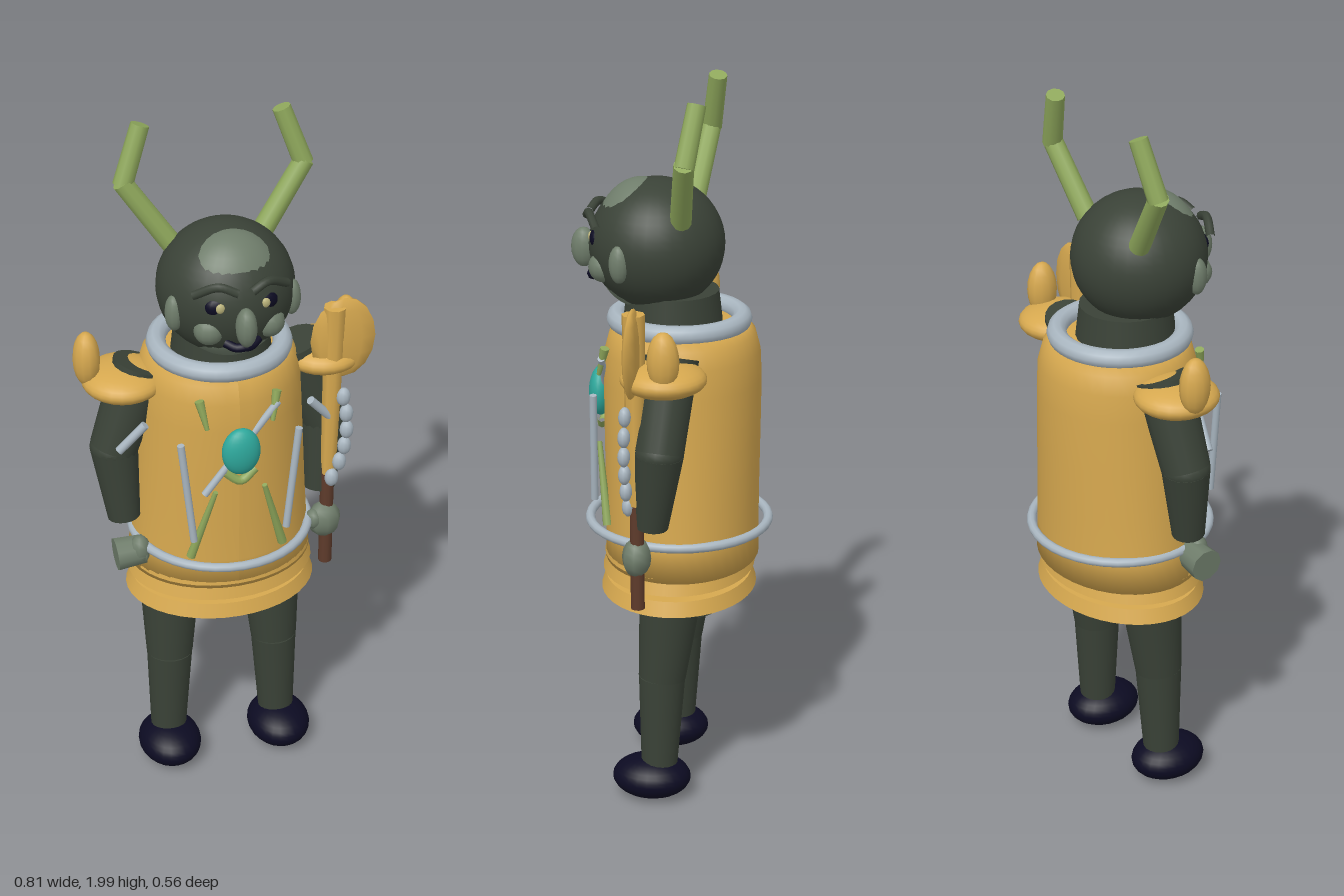
import * as THREE from 'three';

const mat = (name, color) => {
  const m = new THREE.MeshStandardMaterial({ color });
  m.name = name;
  return m;
};
const V = (p) => new THREE.Vector3(...p);

export function createModel() {
  const gold = mat('gold', 0xd6a84f), silver = mat('silver', 0xa9b6c0);
  const cloth = mat('dark cloth', 0x3a4237), skin = mat('skin', 0x6f7d6b);
  const green = mat('horn green', 0x8fa85c), teal = mat('teal', 0x2ea89c);
  const navy = mat('navy', 0x0c0b22), brown = mat('brown', 0x5e3b2b), pale = mat('pale eye', 0xb9b27a);

  const root = new THREE.Group();
  root.name = 'hornedGuard';
  const CX = -0.012; // body axis

  const add = (name, geo, m, pos = [0, 0, 0], scale = [1, 1, 1]) => {
    const mesh = new THREE.Mesh(geo, m);
    mesh.name = name;
    mesh.position.set(...pos);
    mesh.scale.set(...scale);
    root.add(mesh);
    return mesh;
  };
  const ball = (name, m, pos, r, w = 24, h = 16) =>
    add(name, new THREE.SphereGeometry(1, w, h), m, pos, r);
  // tapered round bar from a to b
  const bar = (name, m, a, b, ra, rb = ra, seg = 14) => {
    const A = V(a), B = V(b), d = B.clone().sub(A);
    const mesh = add(name, new THREE.CylinderGeometry(rb, ra, d.length(), seg), m);
    mesh.position.copy(A).add(B).multiplyScalar(0.5);
    mesh.quaternion.setFromUnitVectors(new THREE.Vector3(0, 1, 0), d.normalize());
    return mesh;
  };
  const tube = (name, m, pts, r) =>
    add(name, new THREE.TubeGeometry(new THREE.CatmullRomCurve3(pts.map(V)), 12, r, 8), m);
  const ring = (name, m, y, z, R, r) => {
    const t = add(name, new THREE.TorusGeometry(R, r, 10, 40), m, [CX, y, z]);
    t.rotation.x = Math.PI / 2;
  };

  // torso armour
  const profile = [[0, 0.69], [0.258, 0.69], [0.25, 0.78], [0.242, 0.9], [0.234, 1.05], [0.226, 1.2],
    [0.222, 1.28], [0.208, 1.33], [0.185, 1.355], [0, 1.355]].map((p) => new THREE.Vector2(...p));
  const torso = new THREE.LatheGeometry(profile, 40);
  const tp = torso.attributes.position;
  for (let i = 0; i < tp.count; i++) { // depth stays near constant while the width flares
    const y = tp.getY(i);
    tp.setZ(i, tp.getZ(i) * (0.82 + 0.13 * Math.min(1, Math.max(0, (y - 0.7) / 0.5))));
  }
  torso.computeVertexNormals();
  add('torsoArmour', torso, gold, [CX, 0, -0.027]);

  // flared skirt bands and hips
  [[0.595, 0.635, 0.268], [0.655, 0.7, 0.262], [0.7, 0.765, 0.255]].forEach(([y0, y1, r], i) =>
    add('skirtBand' + (i + 1), new THREE.CylinderGeometry(r - 0.016, r, y1 - y0, 40), gold,
      [CX, (y0 + y1) / 2, -0.018], [1, 1, 0.8]));
  add('hips', new THREE.CylinderGeometry(0.17, 0.17, 0.15, 32), cloth, [CX, 0.62, -0.018], [1, 1, 0.83]);
  ring('belt', silver, 0.79, -0.018, 0.247, 0.013);
  ring('collar', silver, 1.365, -0.018, 0.17, 0.027);
  add('neck', new THREE.CylinderGeometry(0.125, 0.14, 0.13, 24), cloth, [CX, 1.38, 0]);

  // head
  ball('hair', cloth, [CX, 1.57, 0.043], [0.183, 0.178, 0.183], 32, 24);
  ball('face', skin, [CX, 1.57, 0.085], [0.155, 0.177, 0.13], 32, 24);
  ball('nose', skin, [CX, 1.55, 0.243], [0.028, 0.055, 0.035], 12, 10);
  tube('mouth', navy, [[CX - 0.045, 1.488, 0.2], [CX - 0.02, 1.478, 0.217], [CX, 1.48, 0.222],
    [CX + 0.02, 1.478, 0.217], [CX + 0.045, 1.488, 0.2]], 0.012);

  for (const s of [-1, 1]) {
    const side = s > 0 ? 'left' : 'right';
    const at = (x, y, z) => [CX + s * x, y, z];

    // face features
    ball(side + 'Ear', skin, at(0.158, 1.55, 0.118), [0.025, 0.052, 0.028], 12, 10);
    ball(side + 'Cheek', skin, at(0.08, 1.52, 0.175), [0.042, 0.042, 0.04], 14, 10);
    ball(side + 'Eye', navy, at(0.06, 1.595, 0.192), [0.038, 0.029, 0.022], 16, 12);
    ball(side + 'Iris', pale, at(0.06, 1.597, 0.211), [0.013, 0.014, 0.008], 12, 8);
    tube(side + 'Brow', cloth, [at(0.018, 1.645, 0.23), at(0.065, 1.662, 0.215), at(0.125, 1.632, 0.185)], 0.012);

    // bent horns
    bar(side + 'HornBase', green, at(0.12, 1.66, -0.04), at(0.245, 1.845, -0.068), 0.029, 0.027, 10);
    bar(side + 'HornTip', green, at(0.243, 1.835, -0.068), at(0.188, 1.99, -0.092), 0.027, 0.025, 10);

    // shoulder pad with upright knob
    ball(side + 'ShoulderPad', gold, [s * 0.278, 1.285, -0.022], [0.112, 0.046, 0.115]);
    ball(side + 'ShoulderKnob', gold, at(0.361, 1.355, -0.033), [0.037, 0.08, 0.043], 12, 10);

    // arm, hand
    bar(side + 'UpperArm', cloth, at(0.215, 1.32, -0.03), at(0.298, 1.08, -0.012), 0.075, 0.066, 18);
    ball(side + 'Elbow', cloth, at(0.298, 1.08, -0.012), [0.066, 0.05, 0.066], 18, 12);
    bar(side + 'Forearm', cloth, at(0.298, 1.08, -0.012), at(0.28, 0.865, 0.012), 0.066, 0.045, 18);
    bar(side + 'ArmRod', silver, at(0.3, 1.11, 0.06), at(0.23, 1.19, 0.075), 0.012);
    if (s < 0) {
      bar('rightHand', skin, at(0.315, 0.765, 0.05), at(0.235, 0.77, 0.05), 0.047, 0.042, 10);
      ball('rightThumb', skin, at(0.25, 0.78, 0.065), [0.03, 0.045, 0.03], 10, 8);
    } else {
      ball('leftHand', skin, at(0.285, 0.775, 0.052), [0.048, 0.055, 0.04], 8, 8);
      ball('leftThumb', skin, at(0.252, 0.785, 0.06), [0.025, 0.03, 0.025], 10, 8);
    }

    // leg and shoe
    bar(side + 'Thigh', cloth, at(0.155, 0.37, 0.005), at(0.146, 0.62, -0.018), 0.066, 0.087, 20);
    bar(side + 'Shin', cloth, at(0.163, 0.09, 0.012), at(0.155, 0.37, 0.005), 0.05, 0.065, 20);
    ball(side + 'Shoe', navy, at(0.165, 0.064, 0.033), [0.09, 0.06, 0.11]);

    // chest rods and green leaves
    bar(side + 'ChestRod', silver, at(0.163, 1.185, 0.19), at(0.13, 0.875, 0.195), 0.01);
    bar(side + 'UpperLeaf', green, at(0.106, 1.3, 0.168), at(0.09, 1.22, 0.188), 0.013, 0.006, 8);
    bar(side + 'LowerLeaf', green, at(0.13, 0.8, 0.16), at(0.068, 1.02, 0.192), 0.013, 0.007, 8);
  }

  // chest gem and its fittings
  ball('gem', teal, [CX, 1.145, 0.2], [0.053, 0.07, 0.032]);
  bar('diagonalRod', silver, [-0.11, 1.015, 0.188], [0.095, 1.27, 0.178], 0.01);
  tube('gemCradle', green, [[CX - 0.042, 1.08, 0.19], [CX, 1.05, 0.196], [CX + 0.042, 1.08, 0.19]], 0.013);

  // axe held in the left hand
  bar('axeGrip', brown, [0.28, 0.63, 0.048], [0.28, 0.95, 0.05], 0.019, 0.019, 10);
  bar('axeShaft', gold, [0.282, 0.93, 0.05], [0.288, 1.46, 0.055], 0.022, 0.031, 8);
  ball('axeBlade', gold, [0.314, 1.36, 0.055], [0.093, 0.122, 0.021], 9, 8);
  const chain = new THREE.QuadraticBezierCurve3(V([0.312, 1.185, 0.075]), V([0.345, 1.05, 0.078]), V([0.285, 0.925, 0.072]));
  chain.getPoints(5).forEach((p, i) =>
    ball('bead' + (i + 1), silver, p.toArray(), [0.02, 0.028, 0.017], 10, 8));

  return root;
}
